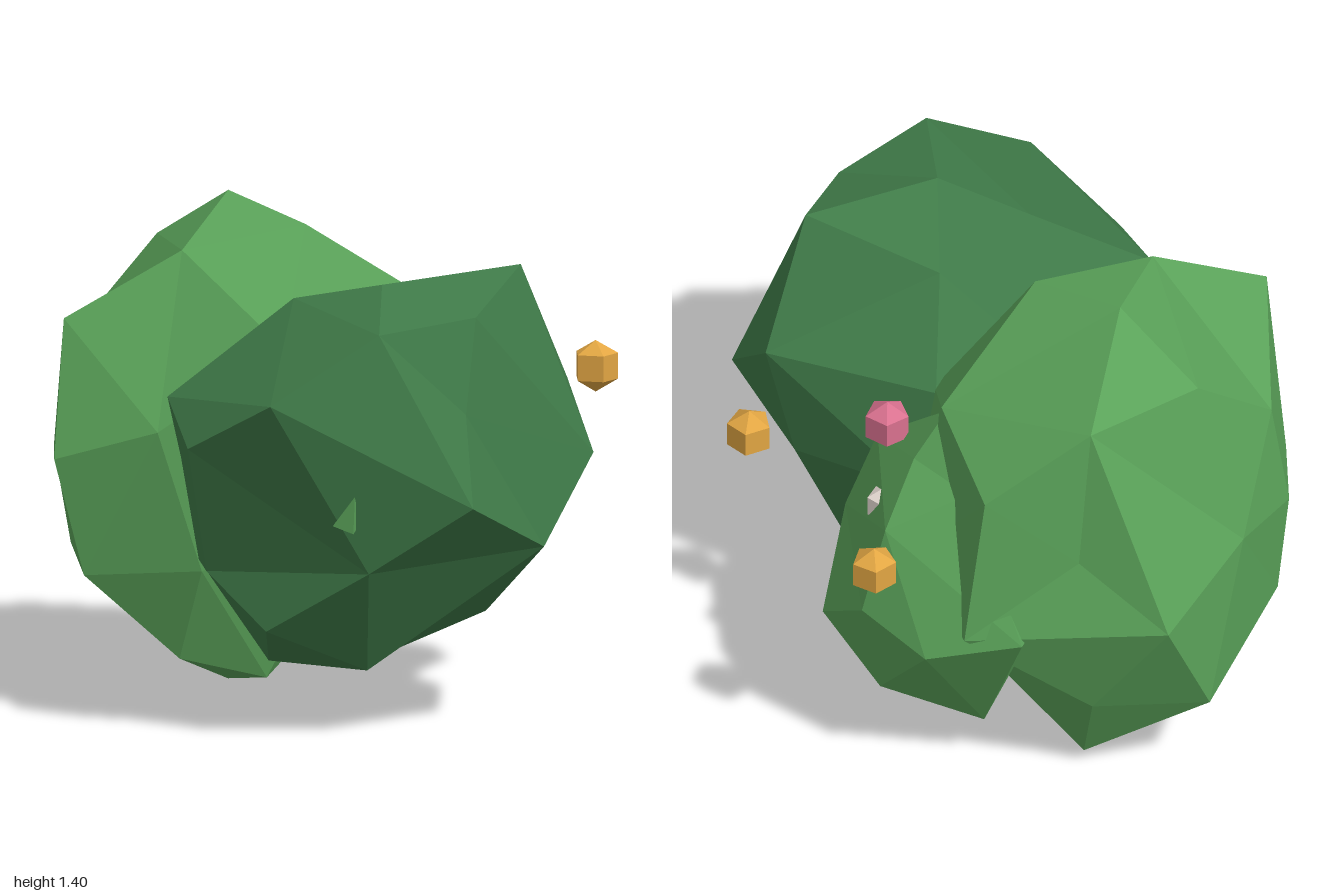
import * as THREE from 'three';
import { ConvexGeometry } from 'three/addons/geometries/ConvexGeometry.js';

const mat = (name, color) => {
  const m = new THREE.MeshStandardMaterial({ color, flatShading: true });
  m.name = name;
  return m;
};

// Faceted clump: corners are joined as if on a ball around the centre,
// then pulled in or out to their own distance, so dents are possible
function clump(name, centre, corners, material) {
  const c = new THREE.Vector3(...centre);
  const spokes = corners.map(p => new THREE.Vector3(...p).sub(c));
  const directions = spokes.map(s => s.clone().normalize());
  const geometry = new ConvexGeometry(directions);
  const pos = geometry.attributes.position;
  const v = new THREE.Vector3();
  for (let i = 0; i < pos.count; i++) {
    v.fromBufferAttribute(pos, i);
    const k = directions.findIndex(d => d.distanceToSquared(v) < 1e-6);
    pos.setXYZ(i, ...spokes[k].toArray());
  }
  geometry.computeVertexNormals();
  const mesh = new THREE.Mesh(geometry, material);
  mesh.name = name;
  mesh.position.copy(c);
  return mesh;
}

// Five-sided bead used for blossoms and fruit
function bead(name, position, radius, turn, material) {
  const mesh = new THREE.Mesh(new THREE.SphereGeometry(radius, 5, 3), material);
  mesh.name = name;
  mesh.position.set(...position);
  mesh.rotation.y = turn;
  return mesh;
}

export function createModel() {
  const group = new THREE.Group();
  group.name = 'bush';
  const dark = mat('dark leaf green', 0x3f7a48);
  const light = mat('light leaf green', 0x5aa259);
  const gold = mat('golden', 0xe2a643);
  const pink = mat('pink', 0xd9718f);
  const cream = mat('cream', 0xeee2da);

  // Front clump, in dark green
  group.add(clump('frontClump', [-0.13, 0.7, 0.42], [
    [-0.14, 0.71, 1.0],
    [0.3, 1.31, 0.51], [-0.13, 1.28, 0.46], [0.05, 1.18, 0.2], [-0.33, 1.2, 0.79], [0.03, 1.21, 0.72],
    [-0.29, 1.22, 0.23], [-0.65, 1.01, 0.72], [-0.06, 0.95, 0.82], [0.5, 0.95, 0.43], [0.46, 0.77, 0.65],
    [-0.75, 0.85, 0.42], [-0.65, 0.95, 0.13], [0.23, 0.97, -0.03], [-0.2, 0.85, -0.05], [-0.52, 0.8, -0.04],
    [0.3, 0.65, -0.03], [-0.66, 0.48, 0.37], [-0.37, 0.51, 0.8], [0.21, 0.54, 0.8], [0.44, 0.61, 0.37],
    [-0.56, 0.32, 0.54], [-0.26, 0.19, 0.6], [0.3, 0.27, 0.31], [-0.24, 0.125, 0.0], [0, 0.18, 0.3],
    [-0.5, 0.45, 0.05], [0.15, 0.35, 0.0],
  ], dark));

  // Large back clump, in light green
  group.add(clump('backClump', [-0.1, 0.7, -0.45], [
    [0.11, 0.645, -1.0],
    [-0.1, 1.41, -0.475], [-0.4, 1.3, -0.22], [-0.02, 1.35, -0.17], [-0.18, 1.25, -0.745], [0.2, 1.25, -0.745],
    [-0.745, 1.12, -0.3], [0.47, 1.03, -0.6], [0.37, 1.12, -0.25], [-0.48, 1.0, -0.69], [0.26, 0.83, -0.77],
    [-0.22, 1.04, 0.05], [0.2, 0.95, 0.02], [-0.55, 0.8, -0.1], [-0.64, 0.7, -0.54], [-0.52, 0.68, -0.72],
    [-0.8, 0.72, -0.26], [-0.25, 0.75, -0.87], [0.55, 0.58, -0.61], [-0.48, 0.38, -0.72],
    [-0.69, 0.37, -0.28], [-0.08, 0.28, -0.94], [0.22, 0.3, -0.78], [0.47, 0.65, -0.25], [0.35, 0.35, -0.35],
    [-0.46, 0.13, -0.13], [-0.15, 0.005, -0.39], [0.17, 0.05, -0.67], [-0.2, 0.06, -0.08], [0, 0.5, 0.02],
    [-0.45, 0.4, -0.02],
  ], light));

  // Smaller side clump, with its pointed leaf tip at the rear
  group.add(clump('sideClump', [0.38, 0.55, -0.3], [
    [0.42, 0.95, -0.45], [0.35, 1.1, -0.25], [0.46, 0.97, -0.24], [0.62, 0.83, -0.32], [0.4, 0.87, 0.02],
    [0.695, 0.57, -0.31], [0.5, 0.65, 0.04], [0.44, 0.59, -0.74], [0.63, 0.5, -0.53],
    [0.66, 0.4, -0.07], [0.435, 0.41, 0.09], [0.37, 0.31, 0.1], [0.645, 0.285, -0.33], [0.15, 0.6, -0.2],
    [0.395, 0.13, -0.25], [0.4, 0.16, -0.5], [0.22, 0.18, -0.02], [0.14, 0.1, -0.2], [0.15, 0.5, -0.5],
  ], light));

  // Leaf tip poking out of the front clump
  const tip = new THREE.Mesh(new THREE.ConeGeometry(0.045, 0.1, 4), light);
  tip.name = 'frontLeafTip';
  tip.position.set(-0.43, 0.7, 0.8);
  tip.rotation.x = 0.5;
  group.add(tip);

  // Blossoms and fruit
  group.add(bead('goldenFruit1', [0.735, 0.925, 0.185], 0.075, 0.15, gold));
  group.add(bead('goldenFruit2', [0.71, 0.775, -0.39], 0.075, 0.4, gold));
  group.add(bead('pinkBlossom', [0.435, 0.985, -0.075], 0.075, 0.3, pink));
  group.add(bead('creamBlossom', [0.515, 0.79, -0.175], 0.06, 0.2, cream));

  return group;
}
